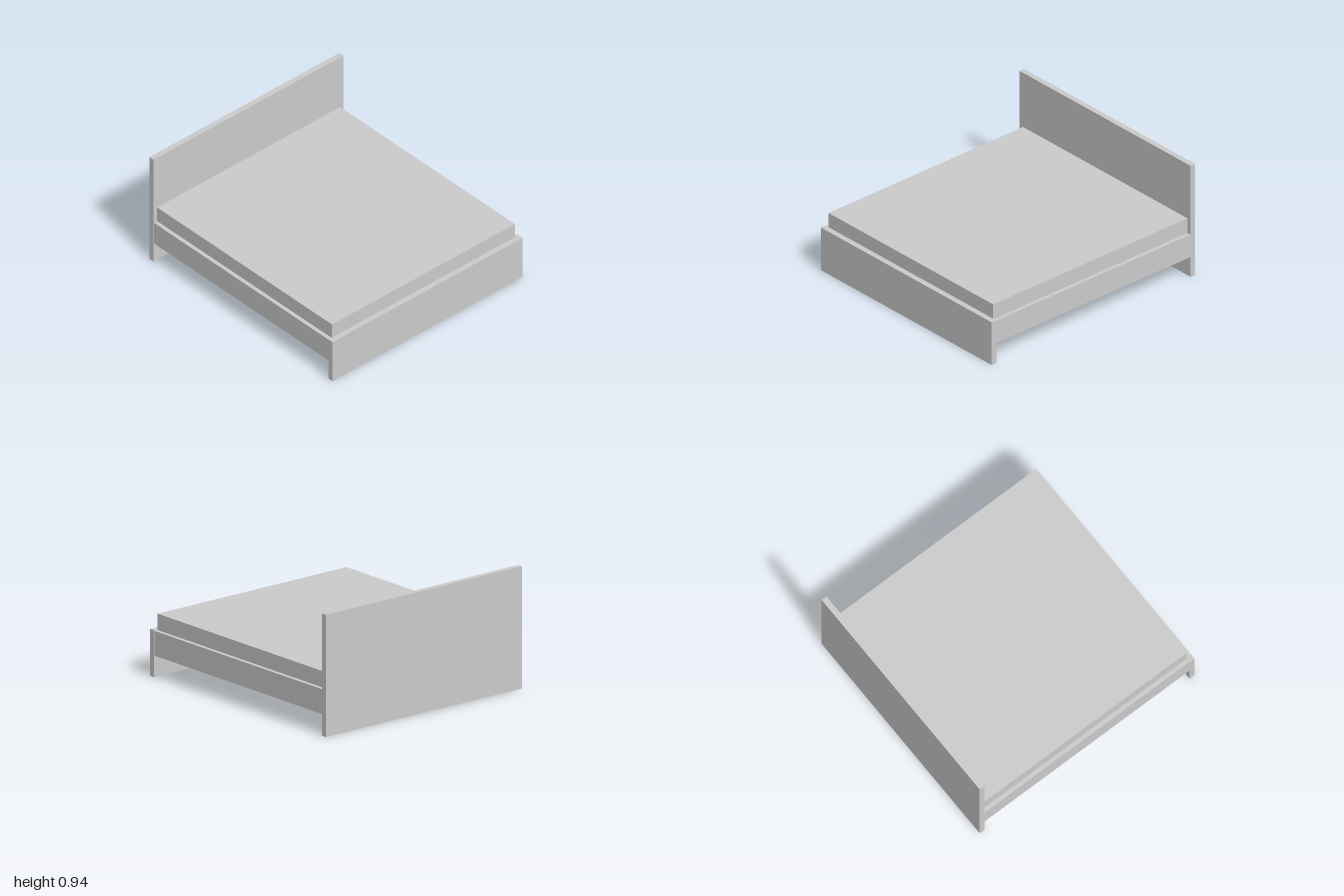
import * as THREE from 'three';

const material = new THREE.MeshStandardMaterial({ color: 0xcccccc });

// Box given by its half width and its y and z ranges
function slab(name, halfWidth, [y0, y1], [z0, z1]) {
  const mesh = new THREE.Mesh(new THREE.BoxGeometry(2 * halfWidth, y1 - y0, z1 - z0), material);
  mesh.position.set(0, (y0 + y1) / 2, (z0 + z1) / 2);
  mesh.name = name;
  return mesh;
}

export function createModel() {
  const bed = new THREE.Group();
  bed.name = 'bed';

  const width = 0.94;   // half width of the end boards
  const inner = 0.955;  // inner face of the end boards

  bed.add(
    // End panels standing on the floor
    slab('headboard', width, [0, 0.937], [-1, -inner]),
    slab('footboard', width, [0, 0.36], [inner, 1]),
    // Raised platform between the panels
    slab('bedBase', 0.937, [0.165, 0.355], [-inner, inner]),
    // Mattress, slightly narrower than the platform
    slab('mattress', 0.905, [0.355, 0.48], [-inner, inner]),
  );
  return bed;
}
